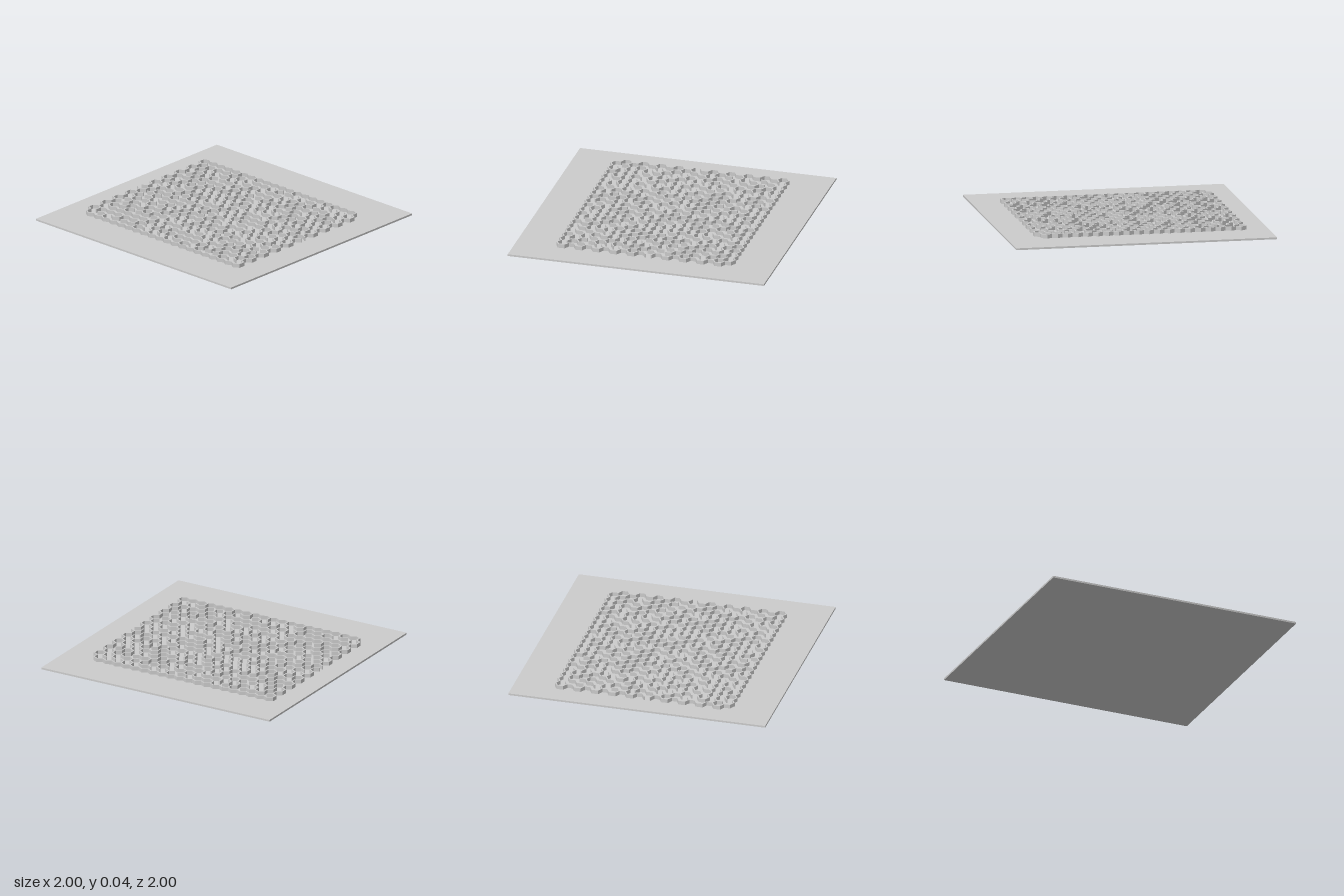
import * as THREE from 'three';
import { mergeGeometries } from 'three/addons/utils/BufferGeometryUtils.js';

const COLS = 20, ROWS = 20;
const SIDE = 0.0452;                 // hexagon side
const H = SIDE * Math.sqrt(3);       // hexagon height across flats
const WALL_T = 0.01, WALL_H = 0.044, BASE_H = 0.014;
const TOP_Z = -0.829;                // back edge of the maze

// Small seeded generator
function makeRandom(seed) {
  return () => {
    seed = (seed * 1664525 + 1013904223) % 4294967296;
    return seed / 4294967296;
  };
}

// Neighbour of a flat-topped cell across side k (k = 0..5 at 30, 90, 150 ... degrees)
function neighbour(c, r, k) {
  const down = c % 2 === 0 ? 1 : 0, up = down - 1;
  const [dc, dr] = [[1, down], [0, 1], [-1, down], [-1, up], [0, -1], [1, up]][k];
  const nc = c + dc, nr = r + dr;
  return nc >= 0 && nc < COLS && nr >= 0 && nr < ROWS ? [nc, nr] : null;
}

const key = (c, r, k) => (r * COLS + c) * 6 + k;

// Carve passages depth first; returns the set of open cell sides
function carveMaze() {
  const random = makeRandom(7), open = new Set(), seen = new Set([9]), stack = [[9, 0]];
  while (stack.length) {
    const [c, r] = stack[stack.length - 1];
    const choices = [];
    for (let k = 0; k < 6; k++) {
      const n = neighbour(c, r, k);
      if (n && !seen.has(n[1] * COLS + n[0])) choices.push([n, k]);
    }
    if (!choices.length) { stack.pop(); continue; }
    const [n, k] = choices[Math.floor(random() * choices.length)];
    open.add(key(c, r, k)).add(key(n[0], n[1], (k + 3) % 6));
    seen.add(n[1] * COLS + n[0]);
    stack.push(n);
  }
  open.add(key(9, 0, 4));            // entrance at the back
  open.add(key(10, ROWS - 1, 1));    // exit at the front
  return open;
}

// One wall panel standing on side k of a cell
function wallPanel(c, r, k) {
  const a = Math.PI / 6 + k * Math.PI / 3;
  const x = (c - (COLS - 1) / 2) * 1.5 * SIDE;
  const z = TOP_Z + (r + 0.5 + (c % 2 === 0 ? 0.5 : 0)) * H;
  return new THREE.BoxGeometry(SIDE + WALL_T * Math.tan(Math.PI / 6), WALL_H, WALL_T)
    .rotateY(-a - Math.PI / 2)
    .translate(x + Math.cos(a) * H / 2, WALL_H / 2, z + Math.sin(a) * H / 2);
}

export function createModel() {
  const group = new THREE.Group();
  group.name = 'hexMaze';
  const material = new THREE.MeshStandardMaterial({ color: 0xcccccc });

  // Square base plate
  const base = new THREE.Mesh(new THREE.BoxGeometry(2, BASE_H, 2), material);
  base.name = 'basePlate';
  base.position.y = BASE_H / 2;
  group.add(base);

  // Maze walls: each shared side is built once
  const open = carveMaze(), panels = [];
  for (let c = 0; c < COLS; c++)
    for (let r = 0; r < ROWS; r++)
      for (let k = 0; k < 6; k++)
        if (!open.has(key(c, r, k)) && (k < 3 || !neighbour(c, r, k)))
          panels.push(wallPanel(c, r, k));
  const walls = new THREE.Mesh(mergeGeometries(panels), material);
  walls.name = 'mazeWalls';
  group.add(walls);

  return group;
}
